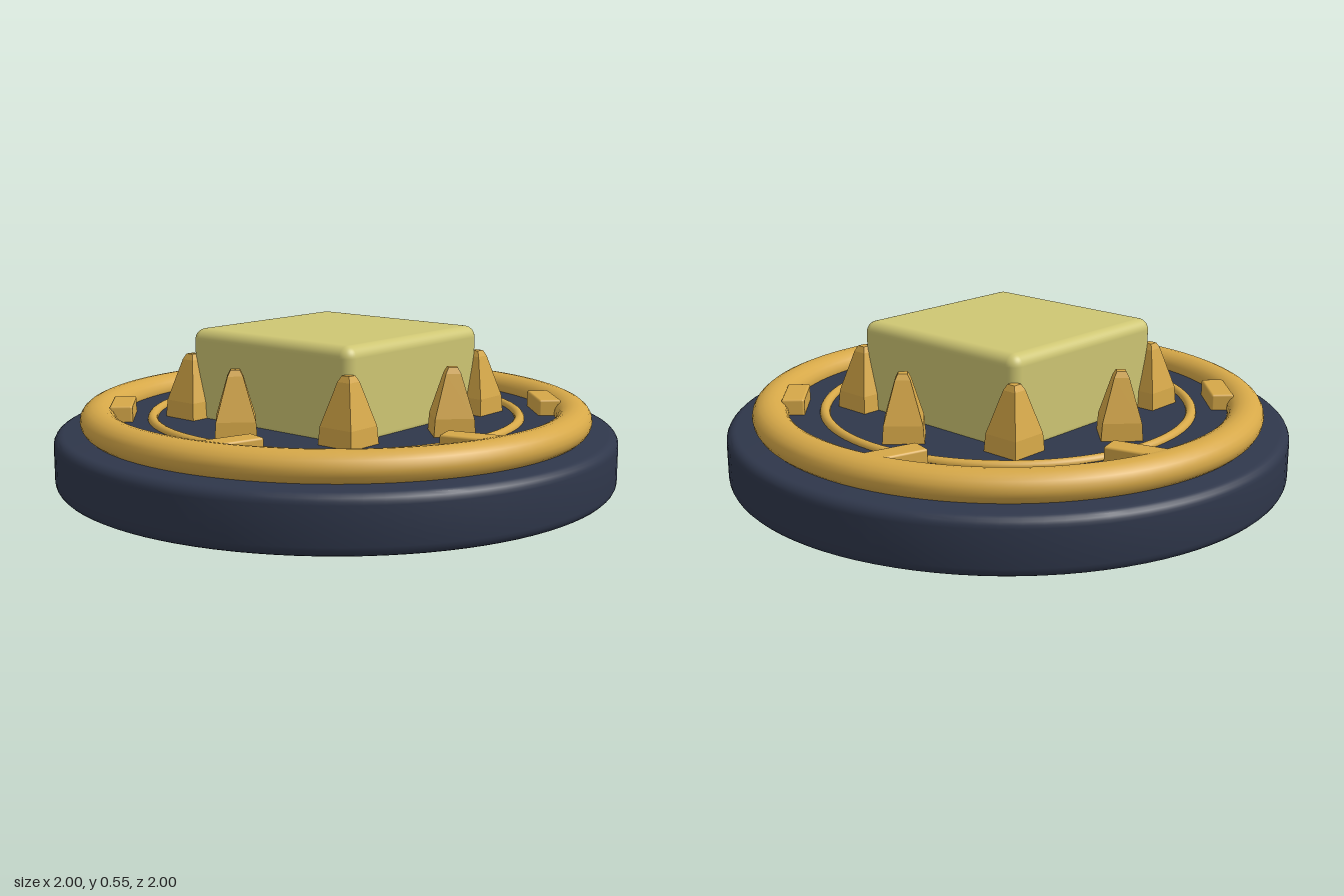
import * as THREE from 'three';
import { RoundedBoxGeometry } from 'three/addons/geometries/RoundedBoxGeometry.js';
import { toCreasedNormals } from 'three/addons/utils/BufferGeometryUtils.js';

const material = (name, color) => {
  const m = new THREE.MeshStandardMaterial({ color });
  m.name = name;
  return m;
};

export function createModel() {
  const navy = material('navy', 0x2f374b);
  const gold = material('gold', 0xd6a848);
  const paleYellow = material('pale yellow', 0xcec673);
  const group = new THREE.Group();

  const add = (name, geometry, mat, x = 0, y = 0, z = 0, turn = 0) => {
    const mesh = new THREE.Mesh(geometry, mat);
    mesh.name = name;
    mesh.position.set(x, y, z);
    mesh.rotation.y = turn;
    group.add(mesh);
    return mesh;
  };
  const lathe = (points, segments) =>
    new THREE.LatheGeometry(points.map(([r, y]) => new THREE.Vector2(r, y)), segments);

  // Round base with softened rims
  const r = 0.035, top = 0.195, base = [[0, 0]];
  for (let i = 0; i <= 5; i++) {
    const a = -Math.PI / 2 + (i / 5) * Math.PI / 2;
    base.push([1 - r + r * Math.cos(a), r + r * Math.sin(a)]);
  }
  for (let i = 0; i <= 5; i++) {
    const a = (i / 5) * Math.PI / 2;
    base.push([1 - r + r * Math.cos(a), top - r + r * Math.sin(a)]);
  }
  base.push([0, top]);
  add('base', toCreasedNormals(lathe(base, 96), 0.6), navy);

  // Raised floor inside the large ring
  const floor = 0.23;
  add('raisedFloor', new THREE.CylinderGeometry(0.83, 0.83, 0.06, 96), navy, 0, floor - 0.03, 0);

  // Large and small rings lying flat
  const ring = (name, radius, tube, height, y) => {
    const geometry = new THREE.TorusGeometry(radius, tube, 20, 96);
    geometry.rotateX(-Math.PI / 2).scale(1, height / tube, 1);
    add(name, geometry, gold, 0, y, 0);
  };
  ring('outerRing', 0.845, 0.064, 0.055, 0.236);
  ring('innerRing', 0.655, 0.018, 0.018, floor);

  // Central block, turned so its corners point along the axes
  add('centralBlock', new RoundedBoxGeometry(0.73, 0.345, 0.73, 5, 0.04), paleYellow,
    0, 0.3725, 0, Math.PI / 4);

  // Eight four-sided spikes, each with a corner pointing outward
  const spike = lathe([[0, floor], [0.099, floor], [0.093, 0.29], [0.036, 0.435],
    [0.022, 0.455], [0, 0.456]], 4).toNonIndexed();
  spike.computeVertexNormals();
  for (let i = 0; i < 8; i++) {
    const a = (i * Math.PI) / 4;
    add('spike', spike, gold, Math.sin(a) * 0.51, 0, Math.cos(a) * 0.51, a);
  }

  // Six bars set along the inside of the large ring
  const bar = new RoundedBoxGeometry(0.08, 0.09, 0.2, 2, 0.008);
  for (let i = 0; i < 6; i++) {
    const a = (i * Math.PI) / 3;
    add('bar', bar, gold, Math.cos(a) * 0.76, 0.242, Math.sin(a) * 0.76, a);
  }

  return group;
}
